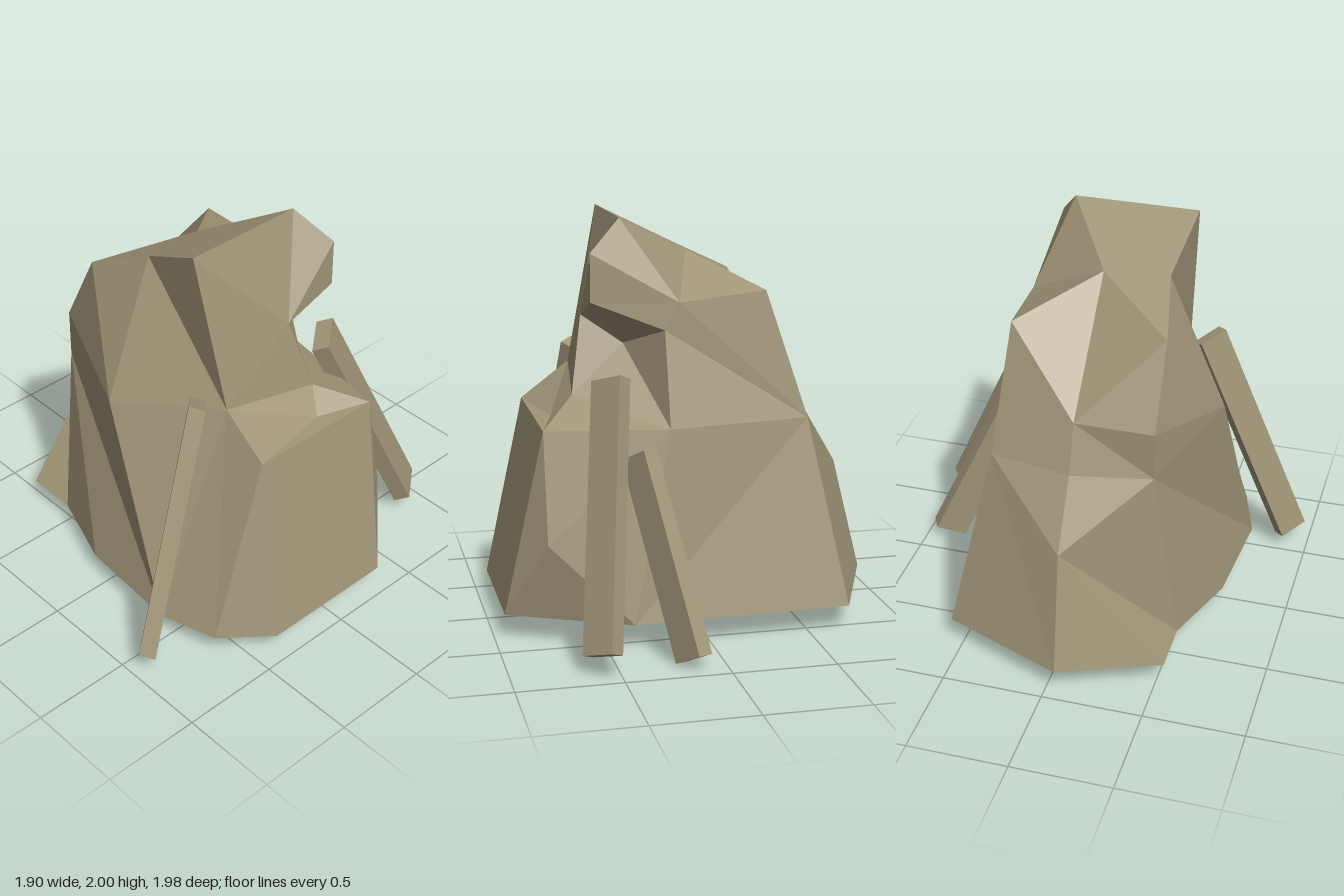
import * as THREE from 'three';

// Triangles of a faceted shell, joined ring by ring (rings run left, front, right, back)
class Shell {
  points = [];
  tri(a, b, c) { this.points.push(...a, ...b, ...c); }

  // Joins two closed rings; each letter advances the lower (l) or upper (u) ring
  stitch(lower, upper, steps) {
    let i = 0, j = 0;
    const at = (ring, n) => ring[n % ring.length];
    for (const step of steps) {
      if (step === 'l') { this.tri(at(lower, i), at(lower, i + 1), at(upper, j)); i++; }
      else { this.tri(at(lower, i), at(upper, j + 1), at(upper, j)); j++; }
    }
  }

  // Closes a run of edge points to one apex
  fan(apex, run) {
    for (let i = 0; i + 1 < run.length; i++) this.tri(run[i], run[i + 1], apex);
  }

  geometry() {
    const g = new THREE.BufferGeometry();
    g.setAttribute('position', new THREE.Float32BufferAttribute(this.points, 3));
    g.computeVertexNormals();
    return g;
  }
}

function boulderGeometry() {
  // Open ground outline (x, z)
  const base = [
    [-0.95, 0.05], [-0.75, 0.54], [-0.48, 0.54], [-0.08, 0.68], [0.47, 0.72],
    [0.76, 0.63], [0.95, 0.4], [0.95, -0.31], [0.37, -0.6], [-0.7, -0.56],
  ].map(([x, z]) => [x, 0.12, z]);

  // Shoulder ring
  const hip = [-0.8, 0.7, 0.03];
  const leftFront = [-0.53, 1.03, 0.42];
  const chest = [0.02, 1.14, 0.63];
  const neckFront = [0.52, 1.22, 0.34];
  const shelfFront = [0.76, 1.04, 0.34];
  const shelfBack = [0.76, 1.03, -0.38];
  const backDent = [0.76, 0.5, -0.48];
  const notchBack = [0.17, 1.03, -0.48];
  const leftBack = [-0.53, 1.03, -0.38];

  // Shelf and hollow under the overhang
  const leftSide = [-0.61, 1.03, 0.03];
  const shelfInner = [0.68, 1.04, -0.1];
  const neckSide = [0.585, 1.15, -0.16];
  const hollow = [0.32, 1.38, -0.09];
  const hollowBack = [0.17, 1.48, -0.36];

  // Head
  const browSide = [0.52, 1.52, -0.05];
  const browLow = [0.52, 1.62, -0.33];
  const browTop = [0.52, 1.85, -0.33];
  const headBack = [0.1, 1.61, -0.36];
  const headLeftBack = [-0.33, 1.65, -0.33];
  const headLeftFront = [-0.33, 1.66, 0.42];
  const headFront = [0, 1.82, 0.35];
  const peakFront = [0.36, 2, 0.4];
  const peakBack = [0.36, 2, -0.22];
  const crown = [-0.02, 1.81, 0.03];
  const cheekFront = [-0.53, 1.27, 0.42];
  const cheek = [-0.53, 1.27, 0.03];

  const s = new Shell();
  // Skirt
  s.stitch(base,
    [hip, leftFront, chest, neckFront, shelfFront, shelfBack, backDent, notchBack, leftBack],
    'llulluululluuluullu');
  // Shelf and left shoulder
  s.fan(leftSide, [leftBack, hip, leftFront]);
  s.fan(shelfInner, [neckFront, shelfFront, shelfBack, neckSide, neckFront]);
  s.fan(notchBack, [neckSide, shelfBack, backDent]);
  // Neck
  s.stitch([leftSide, leftFront, chest, neckFront, neckSide, notchBack, leftBack],
    [cheek, cheekFront, headLeftFront, headFront, peakFront, browSide, hollow, hollowBack,
      headBack, headLeftBack],
    'luluuluulululuuul');
  // Overhang and crown
  s.fan(headLeftFront, [cheek, cheekFront]);
  s.fan(browLow, [browSide, hollow, hollowBack, headBack]);
  s.fan(browTop, [browSide, browLow, headBack]);
  s.fan(peakBack, [peakFront, browSide, browTop, headBack]);
  s.fan(crown, [cheek, headLeftFront, headFront, peakFront, peakBack, headBack, headLeftBack, cheek]);
  return s.geometry();
}

// Squared beam from a bottom corner, its two end-face edges and its length vector
function beamGeometry(corner, edgeA, edgeB, along) {
  const [o, a, b, l] = [corner, edgeA, edgeB, along].map((v) => new THREE.Vector3(...v));
  const g = new THREE.BoxGeometry(1, 1, 1).translate(0.5, 0.5, 0.5);
  // Keep the basis right-handed so faces point outward
  const flip = a.clone().cross(l).dot(b) < 0;
  const m = new THREE.Matrix4().makeBasis(flip ? b : a, l, flip ? a : b).setPosition(o);
  return g.applyMatrix4(m);
}

export function createModel() {
  const group = new THREE.Group();
  group.name = 'proppedBoulder';

  const stone = new THREE.MeshStandardMaterial({
    name: 'sandy stone', color: 0xa09578, flatShading: true, side: THREE.DoubleSide,
  });

  const add = (name, geometry) => {
    const mesh = new THREE.Mesh(geometry, stone);
    mesh.name = name;
    group.add(mesh);
  };

  add('boulder', boulderGeometry());

  // Leaning props: one in front, two behind
  add('frontProp', beamGeometry([0.565, 0.06, 0.83], [0.1, 0.05, 0.1], [-0.06, 0.02, 0.05], [-0.135, 1.18, -0.45]));
  add('backLongProp', beamGeometry([0.5, 0.11, -0.95], [0.06, 0.03, -0.05], [0.11, -0.05, 0.14], [-0.15, 1.16, 0.53]));
  add('backShortProp', beamGeometry([0.08, 0.075, -0.93], [0.07, 0.005, -0.04], [0.08, -0.075, 0.13], [0.17, 0.88, 0.4]));

  return group;
}
